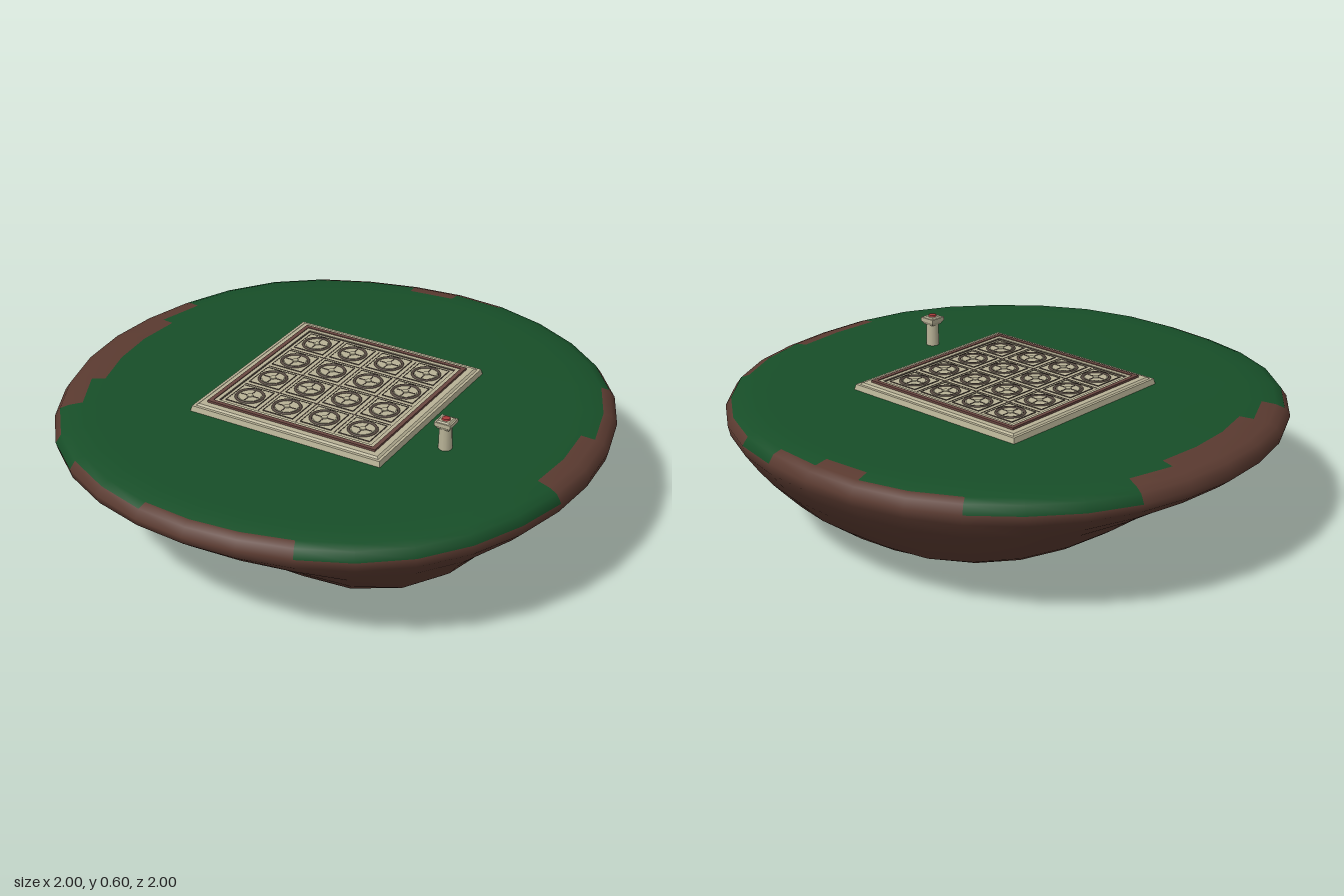
import * as THREE from 'three';

const mat = color => new THREE.MeshStandardMaterial({ color });
const GRASS = mat(0x174e28), EARTH = mat(0x5a3a30);
const STONE = mat(0xb8b296), DARK = mat(0x574a42), TRIM = mat(0x694640), RED = mat(0xa83a3a);

function add(parent, name, geometry, material, x = 0, y = 0, z = 0) {
  const mesh = new THREE.Mesh(geometry, material);
  mesh.name = name;
  mesh.position.set(x, y, z);
  parent.add(mesh);
}

// Linear interpolation in a list of [radius, height] pairs
function heightAt(profile, r) {
  for (let i = 1; i < profile.length; i++) {
    const [r0, y0] = profile[i - 1], [r1, y1] = profile[i];
    if (r <= r1) return y0 + (y1 - y0) * (r - r0) / (r1 - r0);
  }
  return profile[profile.length - 1][1];
}

// Floating island: rings of vertices from the top centre, over the rim, to the bottom centre
function buildIsland() {
  const SEG = 32;
  const top = [[0, 0.48], [0.3, 0.48], [0.6, 0.48], [0.85, 0.478], [0.9, 0.475], [0.95, 0.467], [0.98, 0.455], [1, 0.425]];
  const sides = [[0, 0.003], [0.18, 0.01], [0.35, 0.075], [0.5, 0.145], [0.67, 0.19], [0.82, 0.295], [0.95, 0.36], [1, 0.4]];
  const front = [[0, 0.003], [0.2, 0.045], [0.35, 0.068], [0.5, 0.145], [0.65, 0.195], [0.8, 0.285], [0.95, 0.36], [1, 0.4]];
  const back = [[0, 0.003], [0.35, 0.02], [0.5, 0.06], [0.65, 0.085], [0.77, 0.14], [0.83, 0.2], [0.9, 0.27], [0.97, 0.36], [1, 0.4]];
  const under = [0.992, 0.95, 0.9, 0.85, 0.8, 0.75, 0.67, 0.58, 0.5, 0.35, 0.18, 0];
  const rings = [...top, ...under.map(r => [r])];

  const positions = [];
  for (const [r, y] of rings) {
    for (let i = 0; i < SEG; i++) {
      const a = i / SEG * Math.PI * 2, s = Math.sin(a);
      const diagonal = Math.sin(2 * a) ** 2;
      const R = r * (1 + 0.022 * diagonal * r);
      let h;
      if (y === undefined) {
        // The underside is fuller on the diagonals, most of all at the front left
        const fullness = 0.06 + 0.23 * Math.max(0, Math.cos(a - Math.PI / 4)) ** 2 + 0.04 * Math.max(0, -s);
        const e = r * (1 - fullness * diagonal * Math.min(1, (1 - r) / 0.22));
        h = THREE.MathUtils.lerp(heightAt(sides, e), heightAt(s > 0 ? front : back, e), s * s);
      } else {
        h = y + 0.006 * r ** 4 * Math.sin(4 * a + 0.6) * Math.sin(3 * a);
      }
      positions.push(R * Math.cos(a), h, R * s);
    }
  }

  // Ring where grass gives way to earth, per sector from +x towards +z
  const grassEnd = [
    4, 7, 7, 7, 7, 7, 5, 5, 5, 6, 6, 7, 6, 4, 3, 3,
    3, 4, 7, 7, 7, 5, 5, 4, 5, 7, 6, 6, 6, 5, 5, 4];
  const grass = [], earth = [];
  for (let j = 0; j < rings.length - 1; j++) {
    for (let i = 0; i < SEG; i++) {
      const a = j * SEG + i, b = j * SEG + (i + 1) % SEG, c = a + SEG, d = b + SEG;
      const list = j < grassEnd[i] ? grass : earth;
      if (j > 0) list.push(a, b, c);
      if (j < rings.length - 2) list.push(b, d, c);
    }
  }

  const whole = new THREE.BufferGeometry();
  whole.setAttribute('position', new THREE.Float32BufferAttribute(positions, 3));
  whole.setIndex([...grass, ...earth]);
  whole.computeVertexNormals();
  const island = new THREE.Group();
  island.name = 'island';
  for (const [name, index, material] of [['grass', grass, GRASS], ['earth', earth, EARTH]])
    add(island, name, whole.clone().setIndex(index), material);
  return island;
}

// Flat square slab with sloping sides
function slab(bottomHalf, topHalf, height) {
  const g = new THREE.CylinderGeometry(topHalf * Math.SQRT2, bottomHalf * Math.SQRT2, height, 4).rotateY(Math.PI / 4).toNonIndexed();
  g.computeVertexNormals();
  return g;
}

// Square frame lying flat, its base at y = 0
function squareFrame(outer, inner, height) {
  const square = (target, h) => target.setFromPoints(
    [[-h, -h], [h, -h], [h, h], [-h, h]].map(([x, y]) => new THREE.Vector2(x, y)));
  const shape = square(new THREE.Shape(), outer);
  shape.holes.push(square(new THREE.Path(), inner));
  return new THREE.ExtrudeGeometry(shape, { depth: height, bevelEnabled: false }).rotateX(-Math.PI / 2);
}

// Carved tile: raised square, ring, inner disc and cross
function buildTile() {
  const tile = new THREE.Group();
  tile.name = 'tile';
  add(tile, 'tileBorder', squareFrame(0.063, 0.06, 0.003), DARK);
  add(tile, 'tileSlab', new THREE.BoxGeometry(0.12, 0.004, 0.12), STONE);
  add(tile, 'tileRing', new THREE.TorusGeometry(0.05, 0.006, 6, 24).rotateX(Math.PI / 2), DARK, 0, 0.001, 0);
  add(tile, 'tileDisc', new THREE.CylinderGeometry(0.041, 0.043, 0.006, 20), STONE, 0, 0.001, 0);
  for (const [w, d] of [[0.074, 0.004], [0.004, 0.074]])
    add(tile, 'tileCross', new THREE.BoxGeometry(w, 0.002, d), DARK, 0, 0.0044, 0);
  add(tile, 'tileBoss', new THREE.CylinderGeometry(0.011, 0.013, 0.004, 12), STONE, 0, 0.005, 0);
  return tile;
}

function buildPlatform() {
  const platform = new THREE.Group();
  platform.name = 'platform';
  add(platform, 'baseStep', slab(0.387, 0.382, 0.022), STONE, 0, 0.009, 0);
  add(platform, 'upperStep', slab(0.374, 0.364, 0.008), STONE, 0, 0.022, 0);
  add(platform, 'trimFrame', squareFrame(0.342, 0.326, 0.009), TRIM, 0, 0.025, 0);
  add(platform, 'innerFrame', squareFrame(0.326, 0.312, 0.006), STONE, 0, 0.025, 0);
  add(platform, 'innerTrim', squareFrame(0.312, 0.309, 0.004), DARK, 0, 0.025, 0);
  // Four by four grid of tiles
  for (let i = 0; i < 4; i++) {
    for (let j = 0; j < 4; j++) {
      const tile = buildTile();
      tile.position.set((i - 1.5) * 0.155, 0.027, (j - 1.5) * 0.155);
      platform.add(tile);
    }
  }
  // Thin grooves between the tiles
  for (let i = -1; i <= 1; i++) {
    add(platform, 'groove', new THREE.BoxGeometry(0.6, 0.002, 0.004), DARK, 0, 0.0262, i * 0.155);
    add(platform, 'groove', new THREE.BoxGeometry(0.004, 0.002, 0.6), DARK, i * 0.155, 0.0262, 0);
  }
  platform.position.set(0.003, 0.48, -0.011);
  return platform;
}

function buildPost() {
  const post = new THREE.Group();
  post.name = 'post';
  add(post, 'postShaft', new THREE.CylinderGeometry(0.023, 0.025, 0.1, 12), STONE, 0, 0.04, 0);
  add(post, 'postNeck', slab(0.022, 0.03, 0.014), STONE, 0, 0.091, 0);
  add(post, 'postCap', new THREE.BoxGeometry(0.062, 0.014, 0.062), STONE, 0, 0.104, 0);
  add(post, 'postCrown', slab(0.026, 0.021, 0.005), STONE, 0, 0.113, 0);
  add(post, 'postButton', new THREE.CylinderGeometry(0.014, 0.016, 0.006, 12), RED, 0, 0.118, 0);
  post.position.set(0.519, 0.478, 0.145);
  return post;
}

export function createModel() {
  const model = new THREE.Group();
  model.name = 'islandWithPlatform';
  model.add(buildIsland(), buildPlatform(), buildPost());
  return model;
}
